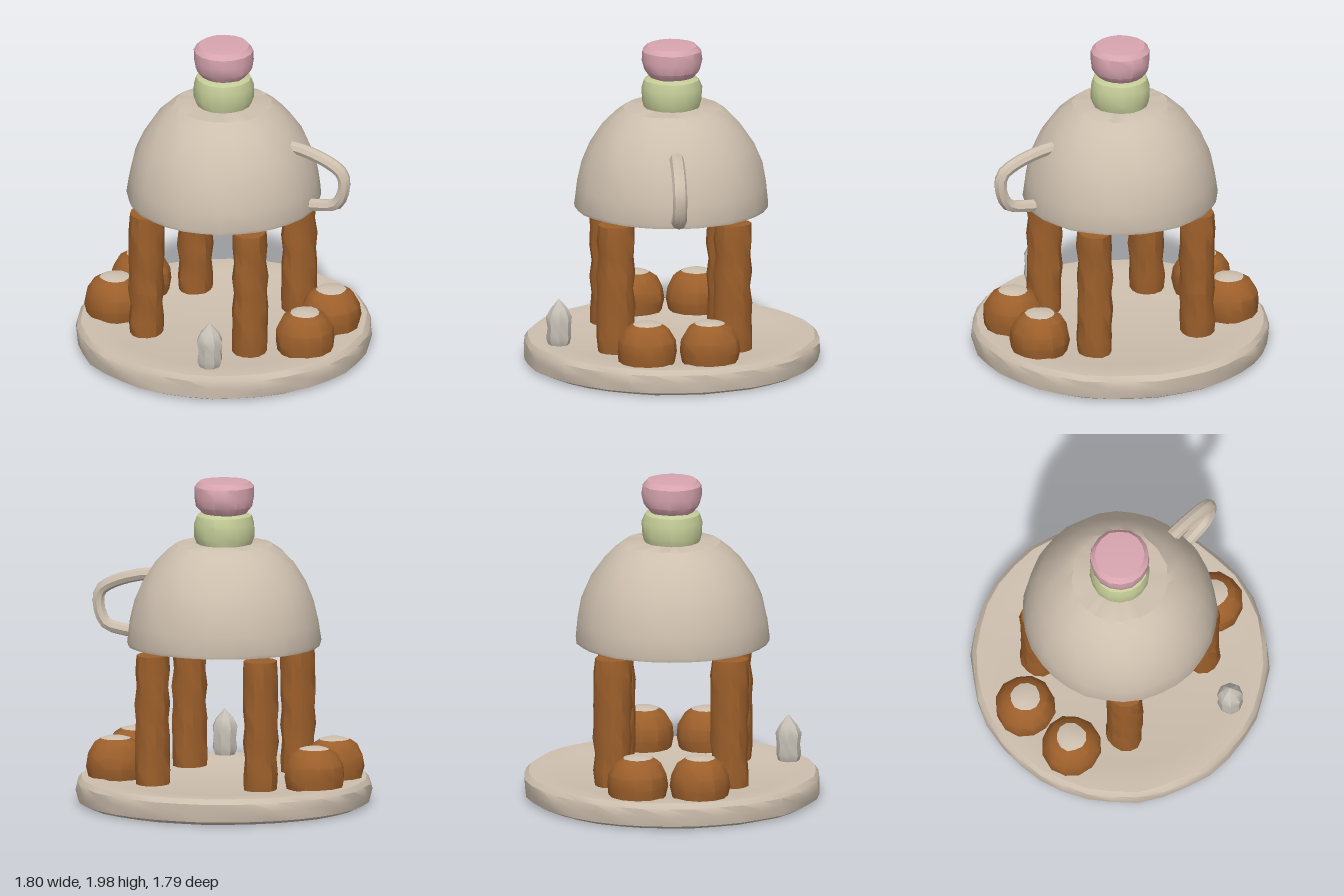
import * as THREE from 'three';
import { toCreasedNormals } from 'three/addons/utils/BufferGeometryUtils.js';

const paint = (name, color) => {
  const m = new THREE.MeshStandardMaterial({ color });
  m.name = name;
  return m;
};

export function createModel() {
  const model = new THREE.Group();
  const stone = paint('warm stone', 0xcdbfae);
  const paleStone = paint('pale grey stone', 0xc6c0b6);
  const wood = paint('brown', 0x9c5f2b);
  const green = paint('soft green', 0xc3cc97);
  const pink = paint('soft pink', 0xd8a5b0);

  // Uneven hand-cut surface: pushes vertices in and out by a position rule
  function roughen(geo, amount, seed) {
    const p = geo.attributes.position;
    for (let i = 0; i < p.count; i++) {
      const x = p.getX(i), y = p.getY(i), z = p.getZ(i);
      const r = Math.hypot(x, z);
      if (r < 1e-4) continue;
      const a = x / r, b = z / r;
      const wave = Math.sin(9 * a + 7 * b + 23 * y + seed) * Math.sin(11 * b - 6 * a + 17 * y + 2 * seed);
      const k = 1 + amount * wave / r;
      p.setXYZ(i, x * k, y, z * k);
    }
    return toCreasedNormals(geo, 0.6);
  }

  // Turned part; profile runs from bottom to top as [radius, height]
  function turned(name, profile, sides, material, rough = 0, x = 0, z = 0, seed = 1) {
    const pts = profile.map(([r, y]) => new THREE.Vector2(r, y));
    const mesh = new THREE.Mesh(roughen(new THREE.LatheGeometry(pts, sides), rough, seed), material);
    mesh.name = name;
    mesh.position.set(x, 0, z);
    model.add(mesh);
    return mesh;
  }

  // Round platform with a chipped edge
  turned('base', [[0, 0.01], [0.85, 0.01], [0.89, 0.03], [0.9, 0.09], [0.895, 0.14], [0.87, 0.17],
    [0.74, 0.17], [0.7, 0.16], [0, 0.16]], 36, stone, 0.009);

  // Four columns
  for (const x of [-0.35, 0.34]) {
    for (const z of [-0.35, 0.36]) {
      const rings = [[0, 0.15]];
      for (let i = 0; i <= 8; i++) rings.push([i % 2 ? 0.107 : 0.1, 0.15 + i * 0.1]);
      rings.push([0, 0.955]);
      turned('column', rings, 12, wood, 0.007, x, z, x * 5 + z * 9).scale.z = 1.1;
    }
  }

  // Four mounds with pale caps
  for (const x of [-0.64, 0.63]) {
    for (const z of [-0.19, 0.19]) {
      turned('mound', [[0, 0.155], [0.17, 0.155], [0.183, 0.23], [0.175, 0.3], [0.135, 0.37], [0.09, 0.4]],
        12, wood, 0.006, x, z, x + z * 4);
      turned('moundCap', [[0.09, 0.4], [0.05, 0.412], [0, 0.415]], 12, stone, 0.006, x, z, x + z * 4);
    }
  }

  // Small pointed figure on the platform
  turned('figurine', [[0, 0.18], [0.065, 0.18], [0.078, 0.22], [0.072, 0.28], [0.08, 0.35], [0.055, 0.4],
    [0.025, 0.435], [0, 0.465]], 8, paleStone, 0.004, 0.23, 0.7);

  // Upturned cup forming the roof
  turned('cup', [[0, 0.98], [0.585, 0.98], [0.59, 1.0], [0.575, 1.12], [0.55, 1.24], [0.5, 1.36],
    [0.42, 1.48], [0.35, 1.55], [0.29, 1.595], [0, 1.605]], 32, stone, 0.006);

  // Cup handle
  const path = new THREE.CatmullRomCurve3([[0.43, 1.39], [0.53, 1.38], [0.7, 1.33], [0.79, 1.27], [0.8, 1.17],
    [0.755, 1.07], [0.66, 1.04], [0.53, 1.025]].map(([x, y]) => new THREE.Vector3(x, y, 0)));
  const handle = new THREE.Mesh(toCreasedNormals(new THREE.TubeGeometry(path, 18, 0.038, 8), 0.6), stone);
  handle.name = 'cupHandle';
  handle.scale.z = 1.15;
  model.add(handle);

  // Stacked rounded knobs on top
  turned('lowerKnob', [[0, 1.59], [0.165, 1.59], [0.18, 1.64], [0.182, 1.72], [0.165, 1.77], [0.13, 1.79],
    [0, 1.79]], 16, green, 0.005);
  turned('upperKnob', [[0, 1.78], [0.13, 1.78], [0.17, 1.83], [0.182, 1.89], [0.178, 1.95], [0.15, 1.98],
    [0, 1.99]], 16, pink, 0.005, 0, 0, 3);

  return model;
}
